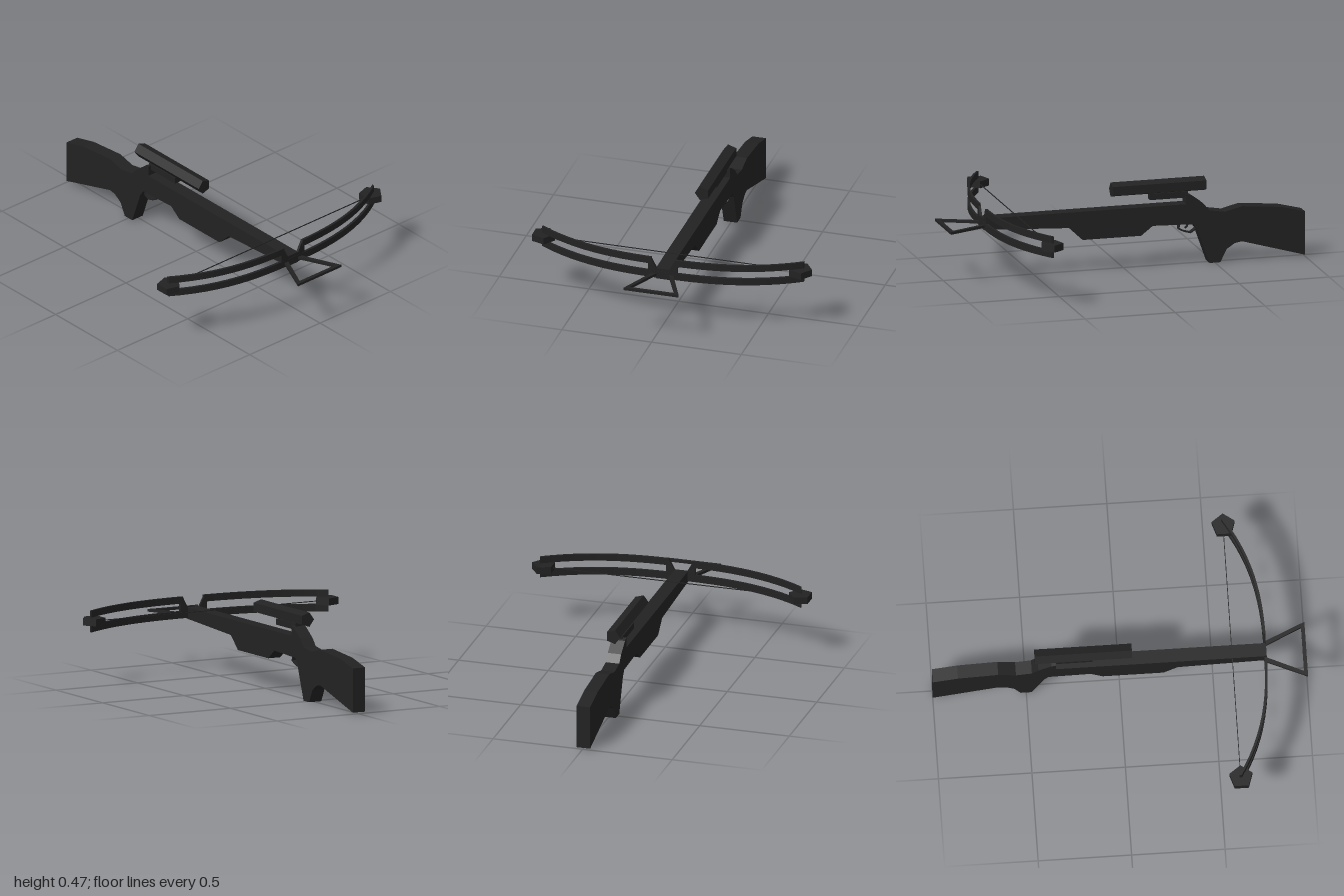
import * as THREE from 'three';

const black = new THREE.MeshStandardMaterial({ color: 0x222222, flatShading: true });
black.name = 'matte black';

export function createModel() {
  const model = new THREE.Group();
  model.name = 'crossbow';

  const add = (name, geometry, x = 0, y = 0, z = 0) => {
    const mesh = new THREE.Mesh(geometry, black);
    mesh.name = name;
    mesh.position.set(x, y, z);
    model.add(mesh);
    return mesh;
  };
  const box = (name, w, h, d, x, y, z) => add(name, new THREE.BoxGeometry(w, h, d), x, y, z);
  const shapeOf = (points) => new THREE.Shape(points.map(([a, b]) => new THREE.Vector2(a, b)));
  const extrude = (shape, depth) =>
    new THREE.ExtrudeGeometry(shape, { depth, bevelEnabled: false }).translate(0, 0, -depth / 2);

  // Stock: side profile as (z, y), extruded across x
  const stock = shapeOf([
    [0.785, 0.272], [0.785, 0.333], [-0.34, 0.333], [-0.34, 0.39], [-0.365, 0.38],
    [-0.435, 0.33], [-0.47, 0.29], [-0.555, 0.276], [-0.65, 0.3], [-0.865, 0.281],
    [-1, 0.247], [-1, 0.008], [-0.65, 0.107], [-0.61, 0.1], [-0.565, 0.07],
    [-0.53, 0], [-0.47, 0], [-0.405, 0.185], [-0.38, 0.22], [-0.155, 0.227],
    [-0.09, 0.177], [0.235, 0.177], [0.31, 0.248],
  ]);
  add('stock', extrude(stock, 0.075).rotateY(-Math.PI / 2), -0.004);

  // Scope: five-sided tube on a narrow rail
  const tube = new THREE.CylinderGeometry(0.041, 0.041, 0.52, 5, 1, false, -Math.PI / 2);
  add('scope', tube.rotateX(Math.PI / 2), 0, 0.432, -0.193);
  box('scopeRail', 0.04, 0.034, 0.21, -0.004, 0.382, -0.25);

  // Bow limbs: straight bars bent backwards towards the tips
  const bowZ = (x) => 0.78 - 0.408 * Math.pow(Math.abs(x), 2.6);
  const limb = (name, x0, x1, y0, y1) => {
    const g = new THREE.BoxGeometry(x1 - x0, y1 - y0, 0.014, 12, 1, 1);
    g.translate((x0 + x1) / 2, (y0 + y1) / 2, 0);
    const p = g.attributes.position;
    for (let i = 0; i < p.count; i++) p.setZ(i, p.getZ(i) + bowZ(p.getX(i)));
    g.computeVertexNormals();
    add(name, g);
  };
  for (const side of [-1, 1]) {
    const label = side > 0 ? 'left' : 'right';
    const span = (a, b) => (side > 0 ? [a, b] : [-b, -a]);
    limb(label + 'UpperLimb', ...span(0.065, 0.729), 0.357, 0.394);
    limb(label + 'LowerLimb', ...span(0, 0.729), 0.277, 0.316);

    // Slanted riser joining the upper limb to the stock
    const riser = shapeOf([[0.03, 0.277], [0.082, 0.3], [0.082, 0.357], [0.09, 0.357], [0.068, 0.394], [0.036, 0.333]]
      .map(([x, y]) => [x * side - 0.003, y]));
    add(label + 'Riser', extrude(riser, 0.014), 0, 0, 0.779);

    // Five-sided cam held between the limb tips
    const cam = new THREE.CylinderGeometry(0.0645, 0.0645, 0.038, 5, 1, false, Math.PI / 2);
    add(label + 'Cam', cam, side > 0 ? 0.7105 : -0.723, 0.336, 0.604);
  }
  box('bowString', 1.43, 0.004, 0.004, -0.005, 0.337, 0.602);

  // Foot stirrup: flat trapezoid frame
  const frame = shapeOf([[-0.058, 0.775], [-0.157, 1], [0.151, 1], [0.052, 0.775]]);
  frame.holes.push(new THREE.Path([[-0.036, 0.775 + 0.008], [0.03, 0.775 + 0.008], [0.121, 0.98], [-0.127, 0.98]]
    .map(([x, z]) => new THREE.Vector2(x, z))));
  add('stirrup', extrude(frame, 0.014).rotateX(Math.PI / 2), 0, 0.296, 0);

  // Trigger and guard: thin strips following (z, y) points
  const strip = (name, points, width) => {
    for (let i = 1; i < points.length; i++) {
      const [z0, y0] = points[i - 1], [z1, y1] = points[i];
      const bar = box(name, width, 0.006, Math.hypot(z1 - z0, y1 - y0) + 0.004,
        -0.004, (y0 + y1) / 2, (z0 + z1) / 2);
      bar.rotation.x = -Math.atan2(y1 - y0, z1 - z0);
    }
  };
  strip('triggerGuard', [[-0.312, 0.226], [-0.306, 0.193], [-0.335, 0.178], [-0.372, 0.168], [-0.393, 0.182], [-0.405, 0.195]], 0.03);
  strip('trigger', [[-0.362, 0.224], [-0.355, 0.205], [-0.345, 0.194]], 0.015);

  return model;
}
